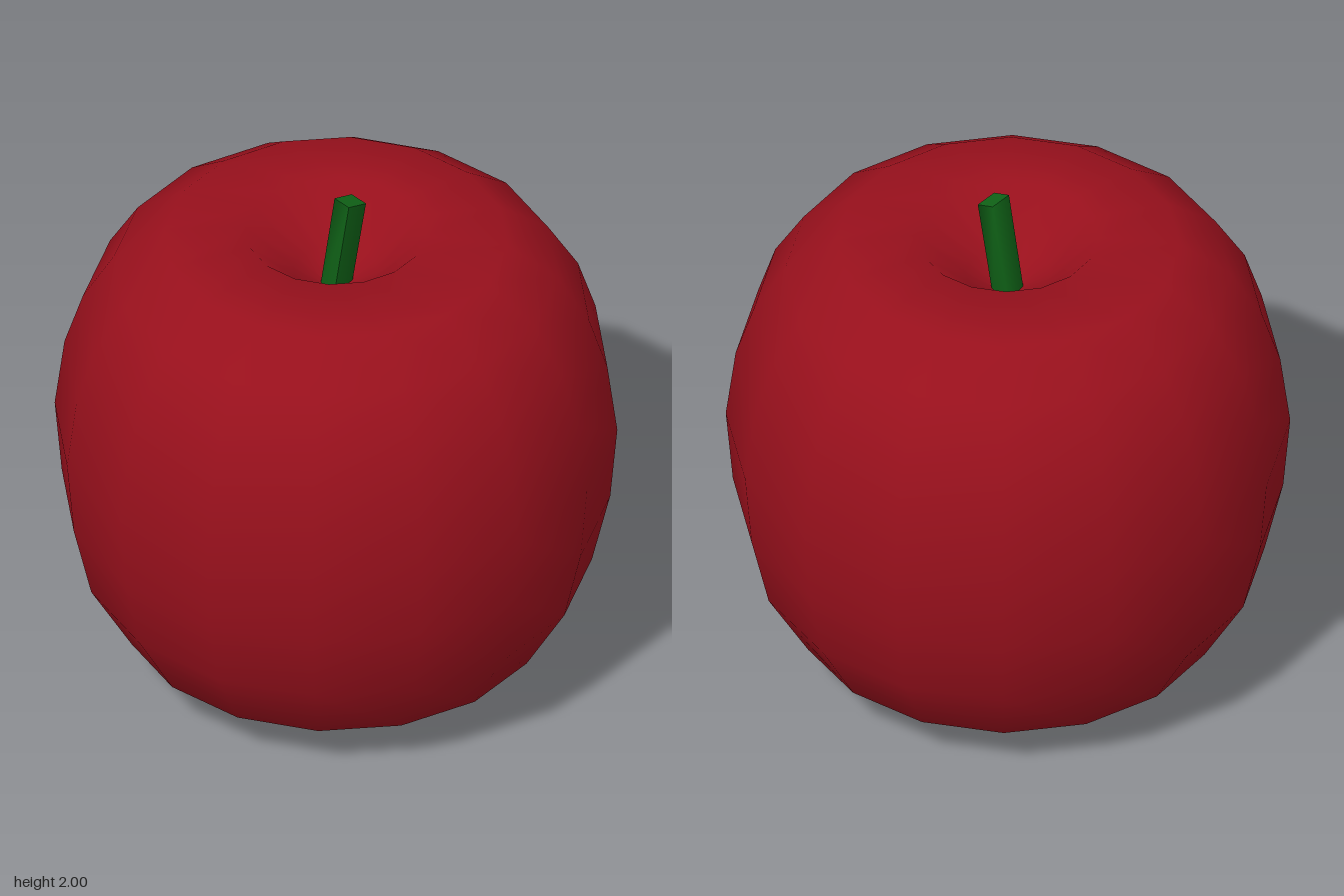
import * as THREE from 'three';

const SIDES = 16;

// Fruit profile as [radius, height], from the base dimple up to the stem dimple
const PROFILE = [
  [0, 0.17], [0.16, 0.13], [0.32, 0.05], [0.47, 0.0], [0.76, 0.2],
  [0.91, 0.46], [0.975, 0.74], [1.0, 1.03], [0.965, 1.3], [0.9, 1.5],
  [0.79, 1.68], [0.61, 1.81], [0.32, 1.835], [0.15, 1.67], [0, 1.58],
];

function makeFruit() {
  const points = PROFILE.map(([r, y]) => new THREE.Vector2(r, y));
  const geometry = new THREE.LatheGeometry(points, SIDES, THREE.MathUtils.degToRad(-6));
  const fruit = new THREE.Mesh(geometry, new THREE.MeshStandardMaterial({ color: 0x98101c }));
  fruit.name = 'fruit';
  return fruit;
}

// Four-sided stem: skewed to a diamond, leaning to the left, with a slanted tip
function makeStem() {
  const bottom = 1.55, top = 1.985;
  const geometry = new THREE.CylinderGeometry(1, 1, 1, 4);
  const p = geometry.attributes.position;
  for (let i = 0; i < p.count; i++) {
    const x = p.getX(i), z = p.getZ(i), t = p.getY(i) + 0.5;
    p.setXYZ(
      i,
      0.05 * x + 0.01 * z - 0.01 + 0.065 * t,
      THREE.MathUtils.lerp(bottom, top, t) - 0.015 * x * t,
      0.04 * z - 0.025 * x - 0.01 + 0.012 * t,
    );
  }
  geometry.computeVertexNormals();
  const stem = new THREE.Mesh(geometry, new THREE.MeshStandardMaterial({ color: 0x0f6016 }));
  stem.name = 'stem';
  return stem;
}

export function createModel() {
  const apple = new THREE.Group();
  apple.name = 'apple';
  apple.add(makeFruit(), makeStem());
  return apple;
}
